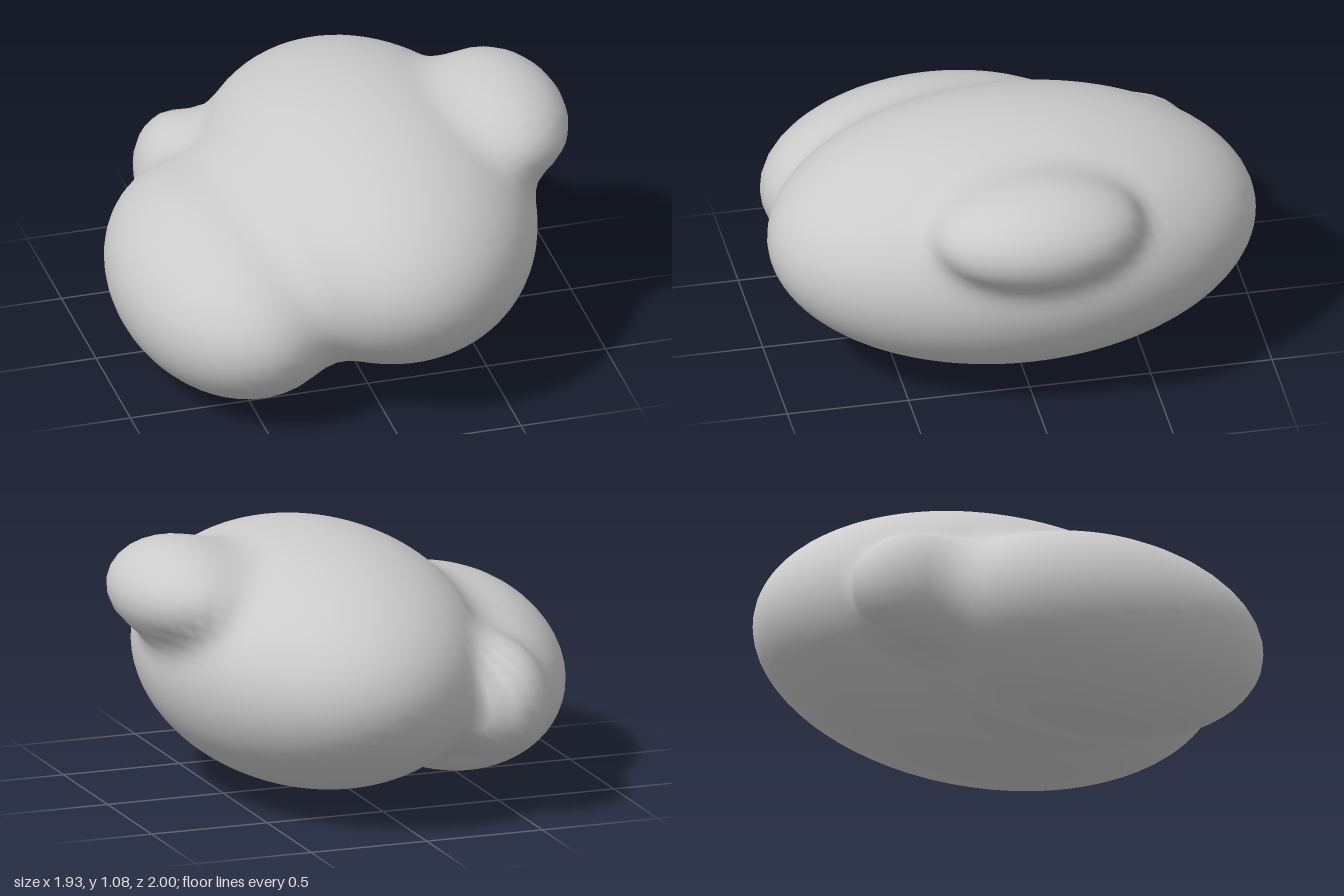
import * as THREE from 'three';

// Overlapping lobes: centre and radii of each ellipsoid
const lobes = [
  { c: [0.13, 0.56, 0], r: [0.67, 0.52, 1.0] },         // main body
  { c: [-0.5, 0.4, 0.17], r: [0.47, 0.4, 0.735] },      // low side lobe
  { c: [0.68, 0.87, 0], r: [0.285, 0.21, 0.42] },       // high knob
  { c: [-0.46, 0.46, -0.58], r: [0.2, 0.24, 0.3] },     // rear tip
];
const BLEND = 0.12;

// Approximate signed distance to one ellipsoid
function lobeDistance(p, { c, r }) {
  const x = p.x - c[0], y = p.y - c[1], z = p.z - c[2];
  const k0 = Math.hypot(x / r[0], y / r[1], z / r[2]);
  const k1 = Math.hypot(x / r[0] ** 2, y / r[1] ** 2, z / r[2] ** 2);
  return k1 < 1e-6 ? -Math.min(...r) : (k0 * (k0 - 1)) / k1;
}

// Smooth union of all lobes
function field(p) {
  return lobes.map((l) => lobeDistance(p, l)).reduce((a, b) => {
    const h = Math.max(BLEND - Math.abs(a - b), 0) / BLEND;
    return Math.min(a, b) - (h * h * BLEND) / 4;
  });
}

function fieldNormal(p) {
  const e = 0.004, q = new THREE.Vector3();
  const slope = (axis) => {
    q.copy(p)[axis] += e;
    const a = field(q);
    q[axis] -= 2 * e;
    return a - field(q);
  };
  return new THREE.Vector3(slope('x'), slope('y'), slope('z')).normalize();
}

// Pull a sphere inward along its rays until it meets the blended surface
function blobGeometry() {
  const geo = new THREE.SphereGeometry(1, 96, 64);
  const pos = geo.attributes.position, nor = geo.attributes.normal;
  const centre = new THREE.Vector3(0, 0.55, 0);
  const dir = new THREE.Vector3(), p = new THREE.Vector3();
  const at = (t) => p.copy(centre).addScaledVector(dir, t);
  for (let i = 0; i < pos.count; i++) {
    dir.fromBufferAttribute(pos, i).normalize();
    let hi = 1.4;
    while (hi > 0.05 && field(at(hi - 0.02)) > 0) hi -= 0.02;
    let lo = hi - 0.02;
    for (let k = 0; k < 14; k++) {
      const mid = (lo + hi) / 2;
      if (field(at(mid)) > 0) hi = mid; else lo = mid;
    }
    at(lo);
    pos.setXYZ(i, p.x, p.y, p.z);
    const n = fieldNormal(p);
    nor.setXYZ(i, n.x, n.y, n.z);
  }
  // Rest on the ground
  geo.computeBoundingBox();
  geo.translate(0, -geo.boundingBox.min.y, 0);
  return geo;
}

export function createModel() {
  const group = new THREE.Group();
  group.name = 'lumpyBoulder';
  const body = new THREE.Mesh(blobGeometry(), new THREE.MeshStandardMaterial({ color: 0xcccccc }));
  body.name = 'boulderBody';
  group.add(body);
  return group;
}
